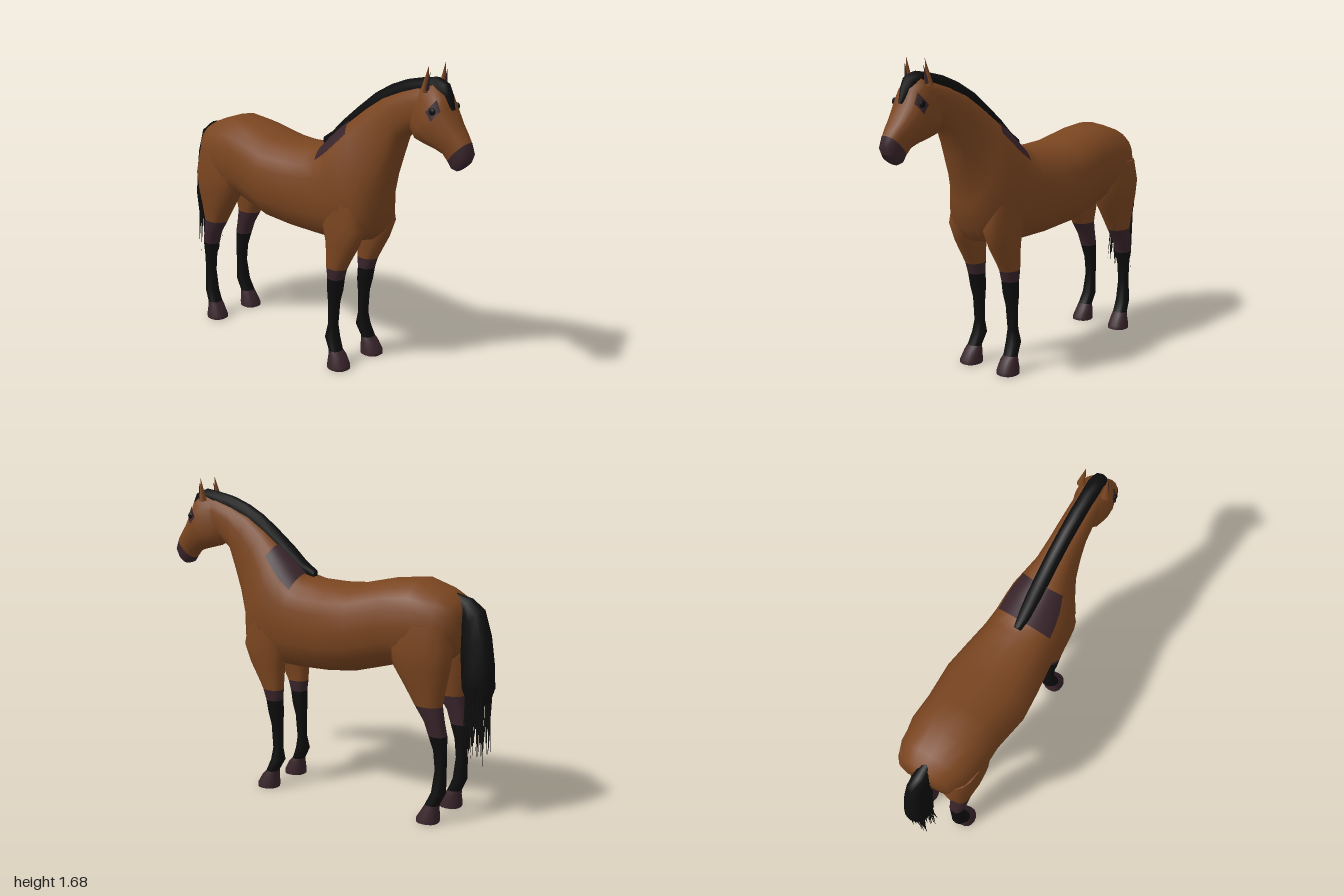
import * as THREE from 'three';

const mat = (name, color) => {
  const m = new THREE.MeshStandardMaterial({ color });
  m.name = name;
  return m;
};

// Skin over oval sections [z1, y1, z2, y2, halfWidth, centreX]; the two points are the
// ends of the oval in the side plane. from/to limit the angle, out swells it for thin plates.
function loft(sections, { n = 16, from = 0, to = Math.PI * 2, out = 0, caps = true } = {}) {
  const pos = [], idx = [];
  const pw = (v) => Math.sign(v) * Math.pow(Math.abs(v), 0.86);
  const ring = ([z1, y1, z2, y2, w, cx = 0]) => {
    const len = Math.hypot(z1 - z2, y1 - y2), k = 0.5 + out / len;
    const pts = [];
    for (let j = 0; j <= n; j++) {
      const a = from + ((to - from) * j) / n;
      const c = pw(Math.cos(a)) * k, s = pw(Math.sin(a)) * (w + out);
      pts.push([cx + s, (y1 + y2) / 2 + c * (y1 - y2), (z1 + z2) / 2 + c * (z1 - z2)]);
    }
    return pts;
  };
  const closed = caps && to - from > 6.28;
  const m = closed ? n : n + 1;
  sections.forEach((s) => ring(s).slice(0, m).forEach((p) => pos.push(...p)));
  for (let i = 0; i < sections.length - 1; i++)
    for (let j = 0; j < n; j++) {
      const a = i * m + j, b = i * m + ((j + 1) % m), c = a + m, d = b + m;
      idx.push(a, c, b, b, c, d);
    }
  if (closed)
    [sections[0], sections[sections.length - 1]].forEach((s, end) => {
      const base = pos.length / 3;
      pos.push(s[5] || 0, (s[1] + s[3]) / 2, (s[0] + s[2]) / 2);
      ring(s).forEach((p) => pos.push(...p));
      for (let j = 1; j <= n; j++)
        idx.push(base, ...(end ? [base + j + 1, base + j] : [base + j, base + j + 1]));
    });
  const g = new THREE.BufferGeometry();
  g.setAttribute('position', new THREE.Float32BufferAttribute(pos, 3));
  g.setIndex(idx);
  g.computeVertexNormals();
  return g;
}

// Rump to throat
const BODY = [
  [-0.835, 1.1, -0.825, 0.98, 0.07], [-0.81, 1.155, -0.82, 0.88, 0.14],
  [-0.74, 1.19, -0.74, 0.81, 0.195], [-0.6, 1.235, -0.6, 0.78, 0.222],
  [-0.45, 1.22, -0.47, 0.77, 0.22], [-0.25, 1.175, -0.25, 0.71, 0.243],
  [-0.1, 1.168, -0.08, 0.69, 0.225], [0.03, 1.175, 0.1, 0.685, 0.203],
  [0.1, 1.195, 0.25, 0.69, 0.195], [0.15, 1.245, 0.39, 0.72, 0.188],
  [0.2, 1.29, 0.465, 0.8, 0.175], [0.27, 1.345, 0.475, 0.92, 0.145],
  [0.36, 1.415, 0.515, 1.05, 0.108], [0.47, 1.49, 0.555, 1.17, 0.09],
  [0.59, 1.54, 0.585, 1.28, 0.08], [0.7, 1.575, 0.64, 1.33, 0.075],
  [0.77, 1.57, 0.71, 1.36, 0.07],
];
// Poll to lips
const HEAD = [
  [0.72, 1.58, 0.64, 1.39, 0.06], [0.79, 1.6, 0.655, 1.335, 0.083],
  [0.852, 1.55, 0.68, 1.31, 0.1], [0.872, 1.495, 0.74, 1.295, 0.102],
  [0.915, 1.42, 0.8, 1.28, 0.085], [0.95, 1.375, 0.85, 1.26, 0.07],
  [0.98, 1.335, 0.875, 1.225, 0.058], [0.998, 1.285, 0.895, 1.198, 0.055],
  [0.985, 1.245, 0.925, 1.19, 0.04],
];
// Legs as [front z, y, back z, half width, centre x], top to bottom
const FORELEG = [
  [0.4, 0.95, 0.14, 0.06, 0.12], [0.43, 0.8, 0.16, 0.07, 0.118],
  [0.39, 0.7, 0.185, 0.06, 0.12], [0.338, 0.61, 0.19, 0.05, 0.122],
  [0.31, 0.56, 0.193, 0.047, 0.122], [0.29, 0.5, 0.2, 0.044, 0.12],
  [0.278, 0.43, 0.197, 0.042, 0.118], [0.26, 0.36, 0.2, 0.033, 0.118],
  [0.25, 0.23, 0.2, 0.029, 0.12], [0.262, 0.16, 0.186, 0.04, 0.123],
  [0.288, 0.095, 0.222, 0.04, 0.13], [0.312, 0.07, 0.222, 0.048, 0.13],
  [0.34, 0.02, 0.218, 0.057, 0.133], [0.34, 0, 0.22, 0.058, 0.133],
];
const HINDLEG = [
  [-0.5, 1.02, -0.8, 0.1, 0.115], [-0.48, 0.9, -0.822, 0.1, 0.128],
  [-0.51, 0.8, -0.81, 0.088, 0.13], [-0.575, 0.7, -0.79, 0.07, 0.13],
  [-0.63, 0.61, -0.775, 0.055, 0.13], [-0.685, 0.53, -0.788, 0.048, 0.13],
  [-0.708, 0.46, -0.803, 0.042, 0.127], [-0.735, 0.38, -0.803, 0.034, 0.123],
  [-0.745, 0.28, -0.803, 0.03, 0.122], [-0.73, 0.16, -0.803, 0.039, 0.125],
  [-0.7, 0.095, -0.772, 0.041, 0.13], [-0.685, 0.07, -0.77, 0.047, 0.13],
  [-0.655, 0.02, -0.775, 0.056, 0.133], [-0.655, 0, -0.772, 0.057, 0.133],
];
// Crest outer edge and root, withers to forelock
const MANE = [
  [0.05, 1.215, 0.06, 1.17, 0.02], [0.12, 1.26, 0.14, 1.2, 0.034],
  [0.2, 1.335, 0.24, 1.27, 0.04], [0.3, 1.418, 0.345, 1.345, 0.04],
  [0.4, 1.495, 0.44, 1.41, 0.04], [0.5, 1.55, 0.53, 1.46, 0.04],
  [0.6, 1.588, 0.61, 1.5, 0.04], [0.7, 1.61, 0.7, 1.53, 0.04],
  [0.78, 1.622, 0.75, 1.54, 0.042], [0.842, 1.598, 0.78, 1.53, 0.04],
  [0.868, 1.55, 0.81, 1.51, 0.03], [0.888, 1.48, 0.86, 1.46, 0.014],
];
const TAIL = [
  [-0.79, 1.08, -0.76, 1.175, 0.03], [-0.815, 1.03, -0.86, 1.15, 0.045],
  [-0.815, 0.97, -0.93, 1.1, 0.05], [-0.815, 0.88, -0.97, 0.97, 0.058],
  [-0.82, 0.78, -0.99, 0.82, 0.066], [-0.83, 0.69, -0.995, 0.7, 0.07],
  [-0.86, 0.62, -0.97, 0.62, 0.045],
];

export function createModel() {
  const horse = new THREE.Group();
  horse.name = 'horse';
  const coat = mat('bay coat', 0x7a4520);
  const dark = mat('dark brown', 0x38242a);
  const black = mat('black hair', 0x0d0d0d);
  const add = (name, geometry, material, parent = horse) => {
    const mesh = new THREE.Mesh(geometry, material);
    mesh.name = name;
    parent.add(mesh);
    return mesh;
  };

  // Body, neck and head
  add('bodyAndNeck', loft(BODY, { n: 20 }), coat);
  add('head', loft(HEAD.slice(0, 7)), coat);
  add('muzzle', loft(HEAD.slice(6)), dark);
  add('withersPatch', loft(BODY.slice(8, 12), { from: -0.85, to: 0.85, out: 0.006, caps: false }), dark);
  add('mane', loft(MANE, { n: 10 }), black);

  for (const side of [1, -1]) {
    const label = side > 0 ? 'left' : 'right';

    // Eye surround and eye
    const [from, to] = side > 0 ? [0.7, 1.3] : [-1.3, -0.7];
    add(label + 'EyePatch', loft(HEAD.slice(2, 4), { from, to, n: 8, out: 0.005, caps: false }), dark);
    const eye = add(label + 'Eye', new THREE.SphereGeometry(0.018, 12, 8), black);
    eye.scale.x = 0.6;
    eye.position.set(side * 0.094, 1.475, 0.828);

    // Ear, with a dark inner face
    const ear = new THREE.Group();
    ear.name = label + 'Ear';
    ear.position.set(side * 0.066, 1.62, 0.768);
    ear.rotation.set(0.15, 0, side * 0.05);
    horse.add(ear);
    add('earShell', new THREE.ConeGeometry(0.024, 0.13, 8), coat, ear).scale.z = 0.75;
    const inner = add('earInside', new THREE.ConeGeometry(0.014, 0.09, 6), dark, ear);
    inner.scale.z = 0.5;
    inner.position.set(0, -0.008, 0.014);

    // Legs: coat, dark band, black stocking, hoof
    for (const [leg, rows, cuts] of [['Foreleg', FORELEG, [4, 5, 10]], ['Hindleg', HINDLEG, [4, 6, 10]]]) {
      const limb = new THREE.Group();
      limb.name = label + leg;
      horse.add(limb);
      const secs = rows.map(([zf, y, zb, w, x]) => [zf, y, zb, y, w, side * x]);
      const [a, b, c] = cuts;
      add('upperLeg', loft(secs.slice(0, a + 1)), coat, limb);
      add('legBand', loft(secs.slice(a, b + 1)), dark, limb);
      add('stocking', loft(secs.slice(b, c + 1)), black, limb);
      add('hoof', loft(secs.slice(c)), dark, limb);
    }
  }

  // Tail with loose strands at the end
  const tail = new THREE.Group();
  tail.name = 'tail';
  horse.add(tail);
  add('tailHair', loft(TAIL, { n: 12 }), black, tail);
  let seed = 7;
  const rnd = () => (seed = (seed * 16807) % 2147483647) / 2147483647;
  for (let i = 0; i < 75; i++) {
    const a = rnd() * Math.PI * 2, r = Math.sqrt(rnd());
    const len = 0.16 + 0.26 * rnd();
    const strand = add('tailStrand', new THREE.ConeGeometry(0.009, len, 4), black, tail);
    strand.rotation.set(Math.PI + (rnd() - 0.5) * 0.1, 0, (rnd() - 0.5) * 0.12);
    strand.position.set(Math.cos(a) * r * 0.066, 0.73 - len / 2 - rnd() * 0.03, -0.912 + Math.sin(a) * r * 0.068);
  }
  return horse;
}
